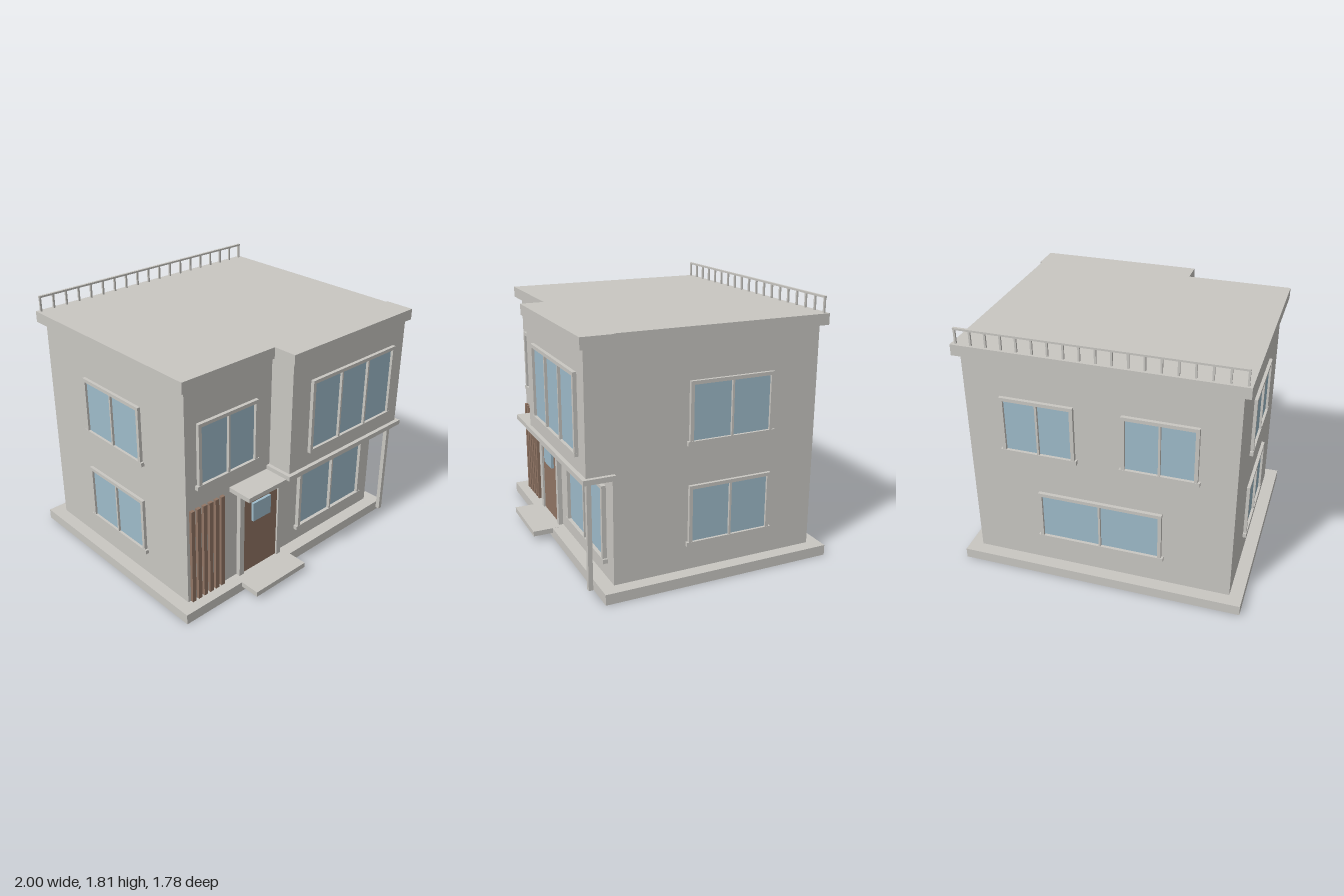
import * as THREE from 'three';

const plaster = new THREE.MeshStandardMaterial({ name: 'plaster', color: 0xc9c7c2 });
const glass = new THREE.MeshStandardMaterial({ name: 'glass', color: 0x9ebbca });
const wood = new THREE.MeshStandardMaterial({ name: 'wood', color: 0x917564 });

// Box given by its minimum and maximum on each axis
function box(parent, name, material, [x0, x1], [y0, y1], [z0, z1]) {
  const mesh = new THREE.Mesh(new THREE.BoxGeometry(x1 - x0, y1 - y0, z1 - z0), material);
  mesh.position.set((x0 + x1) / 2, (y0 + y1) / 2, (z0 + z1) / 2);
  mesh.name = name;
  parent.add(mesh);
  return mesh;
}

function rectPath(path, x0, x1, y0, y1) {
  path.moveTo(x0, y0);
  path.lineTo(x1, y0);
  path.lineTo(x1, y1);
  path.lineTo(x0, y1);
  path.closePath();
  return path;
}

// Framed window facing local +z: u is its centre along the wall, bottom is the sill's top
function windowUnit(name, { u, width, bottom, top, panes, depth = 0.025, sillOver = 0.014, sill = 0.03 }) {
  const group = new THREE.Group();
  group.name = name;
  const border = 0.024, mullion = 0.014, half = width / 2;
  const paneWidth = (width - 2 * border - (panes - 1) * mullion) / panes;
  const outline = rectPath(new THREE.Shape(), u - half, u + half, bottom - 0.005, top);
  for (let i = 0; i < panes; i++) {
    const x0 = u - half + border + i * (paneWidth + mullion);
    outline.holes.push(rectPath(new THREE.Path(), x0, x0 + paneWidth, bottom, top - border));
  }
  const frame = new THREE.Mesh(new THREE.ExtrudeGeometry(outline, { depth, bevelEnabled: false }), plaster);
  frame.name = 'windowFrame';
  group.add(frame);
  box(group, 'windowGlass', glass, [u - half + 0.01, u + half - 0.01], [bottom, top - 0.01], [0, 0.006]);
  box(group, 'windowSill', plaster, [u - half - sillOver, u + half + sillOver], [bottom - sill, bottom], [0, depth + 0.002]);
  return group;
}

export function createModel() {
  const model = new THREE.Group();
  model.name = 'house';
  const front = 0.653, back = -0.8, side = 0.91, bayFront = 0.837;

  // Ground slab and doorstep
  box(model, 'groundSlab', plaster, [-1, 1], [0, 0.073], [-0.89, 0.746]);
  box(model, 'doorStep', plaster, [-0.51, -0.04], [0.037, 0.074], [0.7, 0.89]);

  // Main walls, overhanging upper bay and its floor
  box(model, 'mainWalls', plaster, [-side, side], [0.07, 1.63], [back, front]);
  box(model, 'upperBay', plaster, [-0.182, 0.94], [0.83, 1.63], [front - 0.003, bayFront]);
  box(model, 'bayFloor', plaster, [-0.208, 0.967], [0.804, 0.838], [front, 0.865]);
  box(model, 'bayColumn', plaster, [0.88, 0.91], [0.073, 0.806], [0.793, 0.823]);

  // Roof slabs
  box(model, 'mainRoof', plaster, [-0.957, 0.952], [1.624, 1.7], [-0.843, 0.697]);
  box(model, 'bayRoof', plaster, [-0.208, 0.967], [1.624, 1.7], [front, 0.865]);

  // Roof railing along the back
  const railing = new THREE.Group();
  railing.name = 'roofRailing';
  model.add(railing);
  box(railing, 'handrail', plaster, [-0.938, 0.93], [1.796, 1.809], [-0.828, -0.81]);
  const posts = 19;
  for (let i = 0; i < posts; i++) {
    const x = -0.93 + (1.852 * i) / (posts - 1);
    box(railing, 'railingPost', plaster, [x - 0.0065, x + 0.0065], [1.7, 1.798], [-0.825, -0.812]);
  }

  // Door with surround, small pane and canopy
  const surround = new THREE.Shape();
  [[-0.476, 0.073], [-0.437, 0.073], [-0.437, 0.706], [-0.116, 0.706], [-0.116, 0.073],
    [-0.077, 0.073], [-0.077, 0.748], [-0.476, 0.748]].forEach(([x, y], i) =>
    i ? surround.lineTo(x, y) : surround.moveTo(x, y));
  surround.closePath();
  const doorFrame = new THREE.Mesh(
    new THREE.ExtrudeGeometry(surround, { depth: 0.033, bevelEnabled: false }), plaster);
  doorFrame.name = 'doorFrame';
  doorFrame.position.z = front;
  model.add(doorFrame);
  box(model, 'door', wood, [-0.437, -0.116], [0.073, 0.706], [front, 0.672]);
  box(model, 'doorPane', glass, [-0.36, -0.195], [0.474, 0.616], [0.67, 0.692]);
  box(model, 'doorCanopy', plaster, [-0.545, -0.18], [0.776, 0.808], [front, 0.836]);

  // Upright wooden slats beside the door
  for (let i = 0; i < 6; i++) {
    const x = -0.872 + i * 0.0508;
    box(model, 'woodenSlat', wood, [x - 0.015, x + 0.015], [0.073, 0.78], [front, 0.675]);
  }

  // Windows, grouped by the wall they hang on
  const wall = (name, position, angle, units) => {
    const group = new THREE.Group();
    group.name = name;
    group.position.set(...position);
    group.rotation.y = angle;
    units.forEach((unit) => group.add(windowUnit('window', unit)));
    model.add(group);
  };
  wall('frontWindows', [0, 0, front], 0, [
    { u: -0.568, width: 0.503, bottom: 0.945, top: 1.373, panes: 2 },
    { u: 0.449, width: 0.688, bottom: 0.209, top: 0.708, panes: 2, depth: 0.03 },
  ]);
  wall('bayWindows', [0, 0, bayFront], 0, [
    { u: 0.405, width: 0.838, bottom: 0.963, top: 1.464, panes: 3, sillOver: 0.002, sill: 0.023 },
  ]);
  const sidePair = (u) => [
    { u, width: 0.6, bottom: 0.964, top: 1.354, panes: 2, depth: 0.022 },
    { u, width: 0.6, bottom: 0.274, top: 0.664, panes: 2, depth: 0.022 },
  ];
  wall('leftWindows', [side, 0, 0], Math.PI / 2, sidePair(0.163));
  wall('rightWindows', [-side, 0, 0], -Math.PI / 2, sidePair(-0.07));
  wall('backWindows', [0, 0, back], Math.PI, [
    { u: -0.41, width: 0.503, bottom: 0.963, top: 1.356, panes: 2 },
    { u: 0.41, width: 0.503, bottom: 0.963, top: 1.356, panes: 2 },
    { u: 0, width: 0.865, bottom: 0.292, top: 0.647, panes: 2 },
  ]);
  return model;
}
